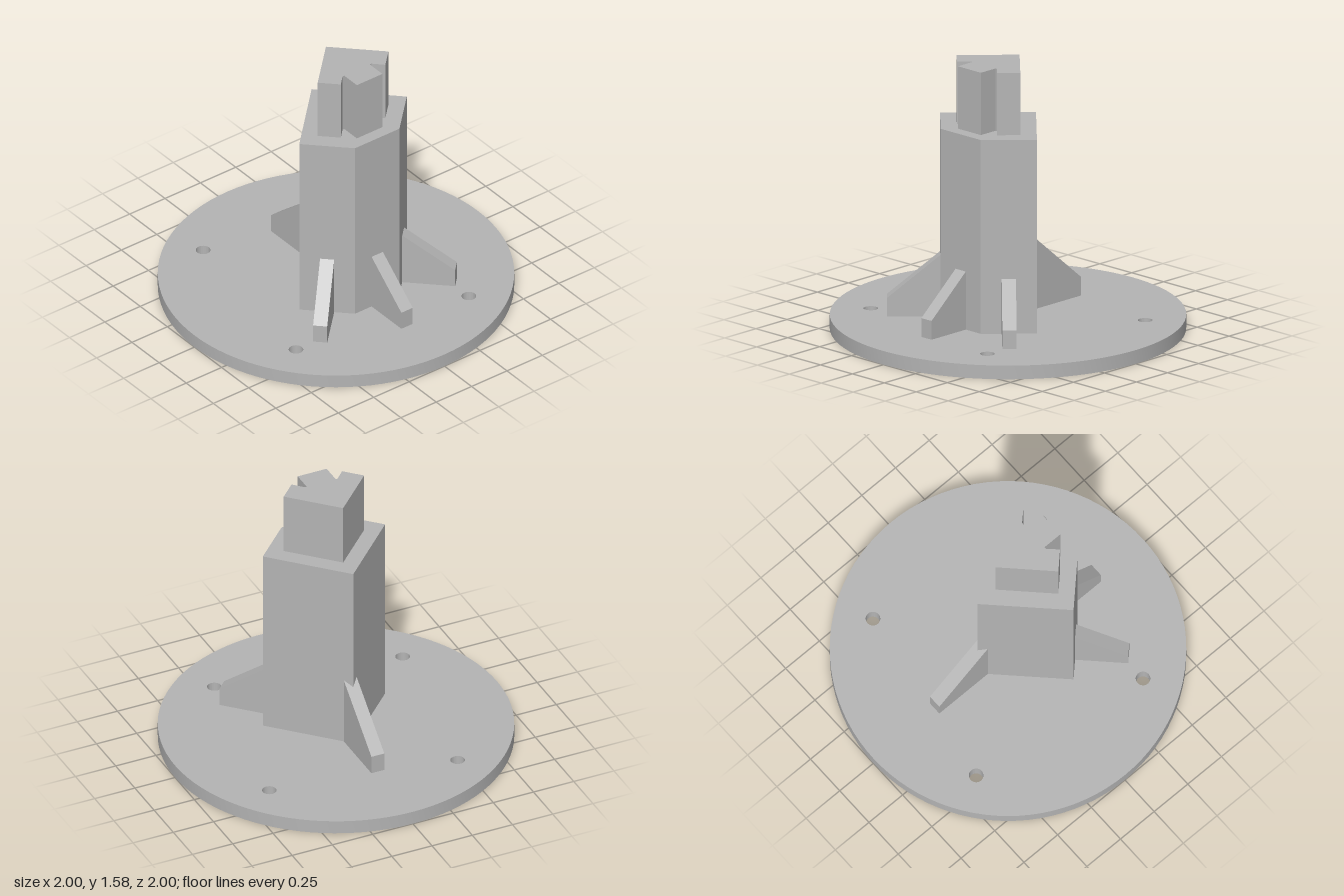
import * as THREE from 'three';
import { toCreasedNormals } from 'three/addons/utils/BufferGeometryUtils.js';

const grey = new THREE.MeshStandardMaterial({ color: 0xb4b4b4 });
grey.name = 'grey';

const PLATE_TOP = 0.08;
const COLUMN_TOP = 1.215;
const KEY_TOP = 1.58;

// Outline from points [x, z] given for z >= 0, mirrored across z = 0
function mirroredShape(half) {
  const other = half.filter(([, z]) => z > 0).map(([x, z]) => [x, -z]).reverse();
  return new THREE.Shape([...half, ...other].map(([x, z]) => new THREE.Vector2(x, z)));
}

// Upright prism between two heights
function prism(name, shape, bottom, top, curveSegments = 12) {
  const geometry = new THREE.ExtrudeGeometry(shape, { depth: top - bottom, bevelEnabled: false, curveSegments });
  geometry.rotateX(-Math.PI / 2).translate(0, bottom, 0);
  const mesh = new THREE.Mesh(toCreasedNormals(geometry, 0.6), grey);
  mesh.name = name;
  return mesh;
}

// Sloped fin running outward from the column, turned about the vertical axis
function rib(name, inner, outer, height, angle) {
  const width = 0.08;
  const profile = new THREE.Shape([
    new THREE.Vector2(inner, PLATE_TOP),
    new THREE.Vector2(outer, PLATE_TOP),
    new THREE.Vector2(outer, 0.19),
    new THREE.Vector2(inner, height),
  ]);
  const geometry = new THREE.ExtrudeGeometry(profile, { depth: width, bevelEnabled: false });
  geometry.translate(0, 0, -width / 2);
  const mesh = new THREE.Mesh(geometry, grey);
  mesh.name = name;
  mesh.rotation.y = angle;
  return mesh;
}

export function createModel() {
  const model = new THREE.Group();
  model.name = 'columnStand';

  // Round base plate with four bolt holes
  const disc = new THREE.Shape().absarc(0, 0, 1, 0, Math.PI * 2);
  for (let i = 0; i < 4; i++) {
    const a = 0.624 + i * Math.PI / 2;
    disc.holes.push(new THREE.Path().absarc(0.778 * Math.cos(a), 0.778 * Math.sin(a), 0.041, 0, Math.PI * 2, true));
  }
  model.add(prism('basePlate', disc, 0, PLATE_TOP, 48));

  // Five-sided column
  const columnShape = mirroredShape([[-0.225, 0], [0.157, 0.38], [0.38, 0.157]]);
  model.add(prism('column', columnShape, PLATE_TOP, COLUMN_TOP));

  // Notched key on top of the column
  const keyShape = mirroredShape([
    [-0.093, 0], [0.157, 0.25], [0.25, 0.157], [0.193, 0.102], [0.193, 0.09], [0.31, 0.09],
  ]);
  model.add(prism('topKey', keyShape, COLUMN_TOP, KEY_TOP));

  // Support ribs
  model.add(
    rib('leftRib', 0.38, 0.655, 0.42, 0),
    rib('backRib', 0.38, 0.679, 0.40, Math.PI / 4),
    rib('rightRib', 0.185, 0.545, 0.49, Math.PI),
    rib('frontRib', 0.38, 0.679, 0.44, -Math.PI / 4),
  );
  return model;
}
